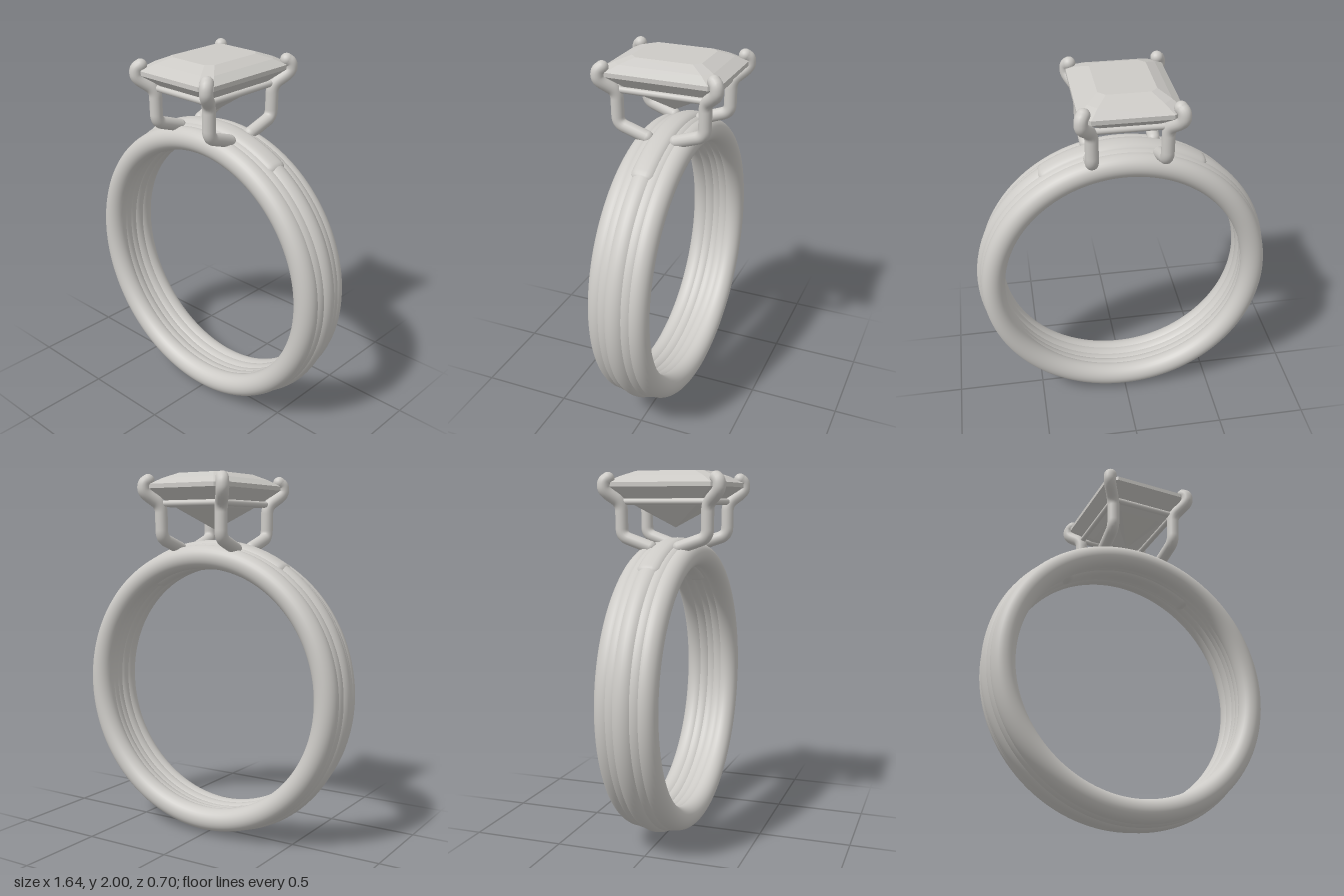
import * as THREE from 'three';
import { mergeVertices } from 'three/addons/utils/BufferGeometryUtils.js';
import { ConvexGeometry } from 'three/addons/geometries/ConvexGeometry.js';

const V = (x, y, z) => new THREE.Vector3(x, y, z);
const CY = 0.822; // height of the band's centre

// Polyline with each inner corner rounded by a quadratic curve
function roundedPath(points, r) {
  const path = new THREE.CurvePath();
  let from = points[0];
  for (let i = 1; i < points.length - 1; i++) {
    const p = points[i];
    const cut = (q) => p.clone().lerp(q, Math.min(0.45, r / p.distanceTo(q)));
    const a = cut(points[i - 1]), b = cut(points[i + 1]);
    path.add(new THREE.LineCurve3(from, a));
    path.add(new THREE.QuadraticBezierCurve3(a, p, b));
    from = b;
  }
  path.add(new THREE.LineCurve3(from, points[points.length - 1]));
  return path;
}

// Octagon: rectangle with cut corners, half sizes hx and hz, at height y
function cutRectangle(hx, hz, cut, y) {
  const out = [];
  for (const sx of [-1, 1]) for (const sz of [-1, 1]) {
    out.push(V(sx * (hx - cut), y, sz * hz), V(sx * hx, y, sz * (hz - cut)));
  }
  return out;
}

// Arc with a squarish section and rounded ends, centred on the top of the band
function bridgeGeometry() {
  const R = 0.743, halfR = 0.081, halfZ = 0.073, span = 1.24, n = 2.8;
  const geo = new THREE.TorusGeometry(R, 1, 28, 72, span);
  const pos = geo.attributes.position;
  const soften = (v) => Math.sign(v) * Math.pow(Math.abs(v), 2 / n);
  const cols = 73;
  for (let i = 0; i < pos.count; i++) {
    const u = ((i % cols) / 72) * span;
    const v = (Math.floor(i / cols) / 28) * Math.PI * 2;
    const d = Math.min(1, Math.min(u, span - u) / 0.07);
    const f = Math.sqrt(Math.max(0, 1 - (1 - d) ** 2));
    const rho = R + halfR * f * soften(Math.cos(v));
    const a = Math.PI / 2 - span / 2 + u;
    pos.setXYZ(i, rho * Math.cos(a), rho * Math.sin(a), halfZ * f * soften(Math.sin(v)));
  }
  geo.deleteAttribute('uv');
  geo.deleteAttribute('normal');
  const merged = mergeVertices(geo, 1e-5);
  merged.computeVertexNormals();
  return merged;
}

export function createModel() {
  const metal = new THREE.MeshStandardMaterial({ color: 0xcccac6 });
  metal.name = 'pale silver';

  const model = new THREE.Group();
  model.name = 'ring';
  const add = (name, geometry, parent = model) => {
    const mesh = new THREE.Mesh(geometry, metal);
    mesh.name = name;
    parent.add(mesh);
    return mesh;
  };

  // Band of five overlapping round hoops: [z, radius, tube radius]
  const band = new THREE.Group();
  band.name = 'band';
  band.position.y = CY;
  model.add(band);
  for (const [z, R, r] of [
    [-0.099, 0.734, 0.064], [-0.053, 0.741, 0.064], [0, 0.752, 0.068],
    [0.053, 0.741, 0.064], [0.099, 0.734, 0.064],
  ]) {
    add('bandHoop', new THREE.TorusGeometry(R, r, 28, 128), band).position.z = z;
  }
  add('bridge', bridgeGeometry(), band);

  // Four prongs, bent outwards under the stone and hooked over its corners
  for (const sx of [-1, 1]) for (const sz of [-1, 1]) {
    const prong = new THREE.Group();
    prong.name = 'prong';
    model.add(prong);
    const points = [
      [0.18, 1.60, 0.08], [0.188, 1.655, 0.238], [0.19, 1.83, 0.24],
      [0.247, 1.895, 0.317], [0.247, 1.942, 0.317], [0.232, 1.958, 0.297],
    ].map(([x, y, z]) => V(sx * x, y, sz * z));
    add('prongWire', new THREE.TubeGeometry(roundedPath(points, 0.04), 72, 0.034, 16), prong);
    add('prongTip', new THREE.SphereGeometry(0.034, 20, 14), prong).position.copy(points[5]);
    add('prongFoot', new THREE.SphereGeometry(0.034, 20, 14), prong).position.copy(points[0]);
  }

  // Thin rails joining the prongs below the stone
  for (const s of [-1, 1]) {
    const longRail = add('longRail', new THREE.CylinderGeometry(0.017, 0.017, 0.48, 14));
    longRail.rotation.x = Math.PI / 2;
    longRail.position.set(s * 0.19, 1.838, 0);
    const shortRail = add('shortRail', new THREE.CylinderGeometry(0.017, 0.017, 0.38, 14));
    shortRail.rotation.z = Math.PI / 2;
    shortRail.position.set(0, 1.838, s * 0.24);
  }

  // Step-cut stone: table, crown, girdle, pavilion and point
  add('stone', new ConvexGeometry([
    ...cutRectangle(0.145, 0.188, 0.035, 2.0),
    ...cutRectangle(0.205, 0.265, 0.045, 1.971),
    ...cutRectangle(0.254, 0.327, 0.055, 1.938),
    ...cutRectangle(0.254, 0.327, 0.055, 1.915),
    ...cutRectangle(0.145, 0.187, 0.03, 1.815),
    V(0, 1.7, 0),
  ]));

  return model;
}
